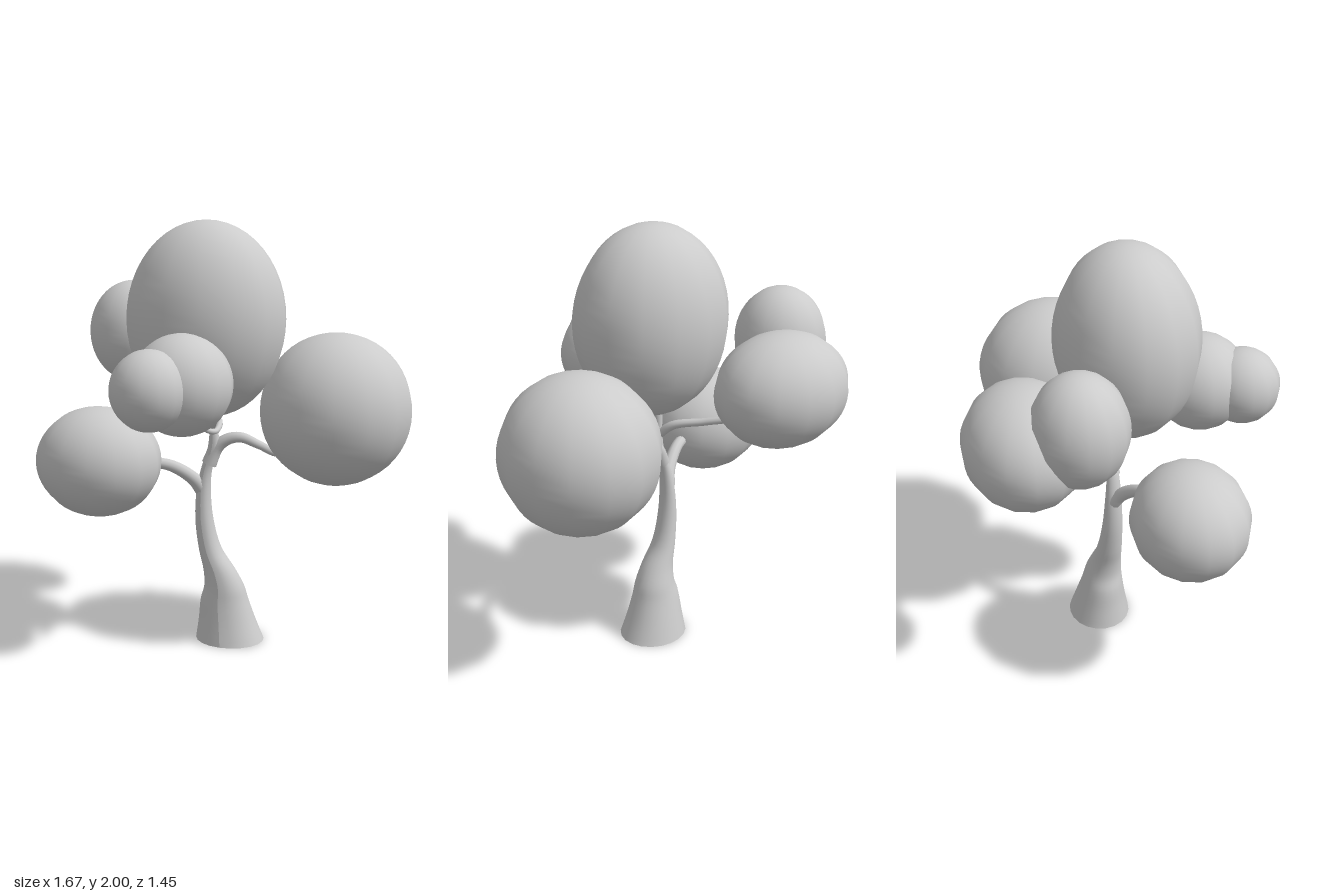
import * as THREE from 'three';

const material = new THREE.MeshStandardMaterial({ color: 0xcccccc, side: THREE.DoubleSide });

// Foliage clumps: name, centre, radii
const CLUMPS = [
  ['crownFoliage', [-0.07, 1.555, 0.042], [0.37, 0.445, 0.325]],
  ['leftFoliage', [0.478, 1.135, -0.198], [0.355, 0.355, 0.357]],
  ['rightLowerFoliage', [-0.538, 0.9, 0.22], [0.295, 0.255, 0.265]],
  ['frontFoliage', [-0.058, 1.307, 0.383], [0.225, 0.223, 0.222]],
  ['frontSmallFoliage', [-0.135, 1.305, 0.56], [0.168, 0.175, 0.17]],
  ['backFoliage', [-0.41, 1.31, -0.47], [0.325, 0.26, 0.265]],
  ['backUpperFoliage', [-0.57, 1.45, -0.267], [0.212, 0.25, 0.208]],
];

// Trunk outline by height: y, min x, max x, min z, max z
const TRUNK = [
  [0, -0.165, 0.167, -0.225, 0.072],
  [0.1, -0.15, 0.128, -0.195, 0.052],
  [0.2, -0.138, 0.095, -0.165, 0.037],
  [0.27, -0.118, 0.075, -0.147, 0.03],
  [0.35, -0.12, 0.035, -0.122, 0.024],
  [0.45, -0.14, -0.03, -0.1, 0.019],
  [0.6, -0.155, -0.07, -0.08, 0.016],
  [0.75, -0.145, -0.08, -0.066, 0.012],
  [0.85, -0.122, -0.07, -0.056, 0.006],
  [0.95, -0.09, -0.035, -0.05, 0],
  [1.05, -0.08, -0.042, -0.045, -0.005],
  [1.12, -0.083, -0.038, -0.045, 0],
  [1.22, -0.095, -0.03, -0.045, 0.02],
];

// Branches: name, start radius, end radius, path
const BRANCHES = [
  ['leftBranch', 0.036, 0.02, [[-0.085, 0.87, -0.025], [-0.05, 0.95, -0.035], [0.0, 0.99, -0.045],
    [0.06, 1.0, -0.06], [0.14, 0.96, -0.1], [0.22, 0.92, -0.14], [0.32, 0.95, -0.17]]],
  ['rightBranch', 0.034, 0.026, [[-0.12, 0.74, -0.025], [-0.15, 0.8, 0.01], [-0.24, 0.87, 0.07],
    [-0.34, 0.89, 0.12], [-0.45, 0.9, 0.17]]],
  ['frontBranch', 0.02, 0.012, [[-0.06, 1.06, -0.02], [-0.01, 1.1, 0.06], [0.03, 1.095, 0.15],
    [0.04, 1.083, 0.24], [0.015, 1.11, 0.31], [-0.03, 1.2, 0.36]]],
  ['backBranch', 0.022, 0.016, [[-0.062, 1.02, -0.025], [-0.1, 1.08, -0.09], [-0.2, 1.11, -0.2],
    [-0.3, 1.15, -0.32], [-0.4, 1.24, -0.42]]],
];

// Smooth interpolation between the trunk rows, wrapped around as a soft ellipse
function trunkGeometry() {
  const rows = 48, sides = 20;
  const centres = new THREE.CatmullRomCurve3(
    TRUNK.map(([y, x0, x1, z0, z1]) => new THREE.Vector3((x0 + x1) / 2, y, (z0 + z1) / 2)));
  const radii = new THREE.CatmullRomCurve3(
    TRUNK.map(([y, x0, x1, z0, z1]) => new THREE.Vector3((x1 - x0) / 2, y, (z1 - z0) / 2)));
  const geometry = new THREE.CylinderGeometry(1, 1, 1, sides, rows, true);
  const position = geometry.attributes.position;
  for (let i = 0; i < position.count; i++) {
    const t = THREE.MathUtils.clamp(position.getY(i) + 0.5, 0, 1);
    const c = centres.getPoint(t), r = radii.getPoint(t);
    position.setXYZ(i, c.x + r.x * position.getX(i), c.y, c.z + r.z * position.getZ(i));
  }
  geometry.computeVertexNormals();
  return geometry;
}

// Tube that narrows along its path
function branchGeometry(path, startRadius, endRadius) {
  const curve = new THREE.CatmullRomCurve3(path.map(p => new THREE.Vector3(...p)));
  const steps = 32, sides = 10;
  const geometry = new THREE.TubeGeometry(curve, steps, 1, sides);
  const position = geometry.attributes.position;
  const v = new THREE.Vector3();
  for (let i = 0; i < position.count; i++) {
    const t = Math.floor(i / (sides + 1)) / steps;
    const centre = curve.getPointAt(t);
    v.fromBufferAttribute(position, i).sub(centre)
      .multiplyScalar(THREE.MathUtils.lerp(startRadius, endRadius, Math.min(1, t * 1.6))).add(centre);
    position.setXYZ(i, v.x, v.y, v.z);
  }
  return geometry;
}

export function createModel() {
  const tree = new THREE.Group();
  tree.name = 'tree';
  const add = (name, geometry) => {
    const mesh = new THREE.Mesh(geometry, material);
    mesh.name = name;
    tree.add(mesh);
    return mesh;
  };

  // Trunk, open underneath
  add('trunk', trunkGeometry());

  // Branches
  for (const [name, r0, r1, path] of BRANCHES) add(name, branchGeometry(path, r0, r1));

  // Foliage
  const ball = new THREE.SphereGeometry(1, 14, 24);
  for (const [name, centre, radii] of CLUMPS) {
    const clump = add(name, ball);
    clump.position.set(...centre);
    clump.scale.set(...radii);
  }
  return tree;
}
